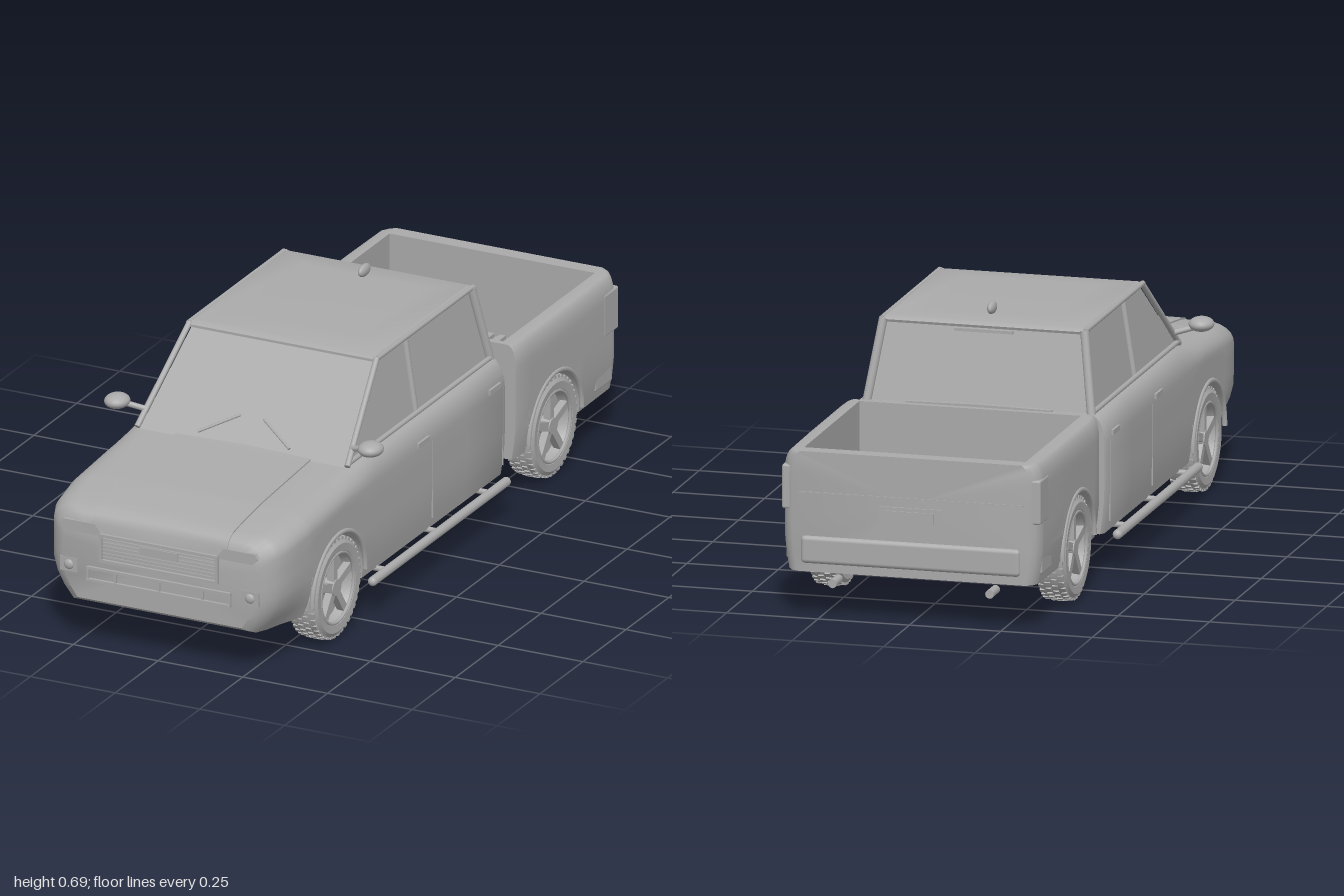
import * as THREE from 'three';
import { toCreasedNormals } from 'three/addons/utils/BufferGeometryUtils.js';
import { RoundedBoxGeometry } from 'three/addons/geometries/RoundedBoxGeometry.js';

const paint = new THREE.MeshStandardMaterial({ color: 0xaaaaaa });
paint.name = 'grey';

const AXLES = [0.645, -0.615], WHEEL_Y = 0.148, ARCH = 0.155;

function add(parent, name, geo, x = 0, y = 0, z = 0) {
  const mesh = new THREE.Mesh(geo, paint);
  mesh.name = name;
  mesh.position.set(x, y, z);
  parent.add(mesh);
  return mesh;
}
const box = (g, name, w, h, d, x, y, z) => add(g, name, new THREE.BoxGeometry(w, h, d), x, y, z);

// Round bar between two points
function bar(g, name, a, b, r, sides = 12) {
  const p = new THREE.Vector3(...a), q = new THREE.Vector3(...b);
  const m = add(g, name, new THREE.CylinderGeometry(r, r, p.distanceTo(q), sides));
  m.position.copy(p).lerp(q, 0.5);
  m.quaternion.setFromUnitVectors(new THREE.Vector3(0, 1, 0), q.sub(p).normalize());
  return m;
}

function ellipsoid(g, name, rx, ry, rz, x, y, z) {
  add(g, name, new THREE.SphereGeometry(1, 24, 16), x, y, z).scale.set(rx, ry, rz);
}

// Skin over closed rings, with fan caps at both ends
function loft(rings, crease = 0.55) {
  const n = rings[0].length, pos = rings.flat(2), idx = [];
  for (let i = 0; i < rings.length - 1; i++) for (let j = 0; j < n; j++) {
    const a = i * n + j, b = i * n + (j + 1) % n;
    idx.push(a, b, a + n, b, b + n, a + n);
  }
  [0, rings.length - 1].forEach((r, end) => {
    const c = pos.length / 3;
    for (let k = 0; k < 3; k++) pos.push(rings[r].reduce((s, p) => s + p[k], 0) / n);
    for (let j = 0; j < n; j++) {
      const a = r * n + j, b = r * n + (j + 1) % n;
      end ? idx.push(c, a, b) : idx.push(c, b, a);
    }
  });
  const geo = new THREE.BufferGeometry();
  geo.setAttribute('position', new THREE.Float32BufferAttribute(pos, 3));
  geo.setIndex(idx);
  return toCreasedNormals(geo, crease);
}

// Linear lookup in rows of [z, value]
function at(rows, z) {
  if (z <= rows[0][0]) return rows[0][1];
  for (let i = 1; i < rows.length; i++) {
    const [z0, v0] = rows[i - 1], [z1, v1] = rows[i];
    if (z <= z1) return v0 + (v1 - v0) * (z - z0) / (z1 - z0);
  }
  return rows[rows.length - 1][1];
}

// Body section: floor, wheel well, side, rounded shoulder, then top or load bay
function section(z, { w, base, top, tuck, rx, ry, inX, inY, midY }) {
  let a = base;
  for (const c of AXLES) {
    const d = Math.abs(z - c);
    if (d < ARCH) a = Math.max(a, WHEEL_Y + Math.sqrt(ARCH * ARCH - d * d));
  }
  const sideX = y => w - tuck * Math.pow(Math.max(0, (0.25 - y) / 0.13), 2);
  const half = [[0, base], [0.24, base], [0.24, a]];
  for (let i = 0; i <= 6; i++) {
    const y = a + (top - ry - a) * i / 6;
    half.push([sideX(y), y]);
  }
  for (let i = 1; i <= 6; i++) {
    const t = i / 6 * Math.PI / 2;
    half.push([w - rx + rx * Math.cos(t), top - ry + ry * Math.sin(t)]);
  }
  half.push([inX, top], [inX, inY], [0, midY]);
  const mirrored = half.slice(1, -1).reverse().map(([x, y]) => [-x, y]);
  return [...half, ...mirrored].map(([x, y]) => [x, y, z]);
}

const archStations = c => Array.from({ length: 25 }, (_, i) => c - ARCH * Math.cos(Math.PI * i / 24));

function frontBody(g) {
  const W = [[-0.335, 0.345], [-0.32, 0.354], [0.82, 0.354], [0.92, 0.344], [0.96, 0.328], [0.98, 0.308], [0.992, 0.285]];
  const T = [[-0.33, 0.44], [0.42, 0.44], [0.52, 0.431], [0.8, 0.412], [0.92, 0.396], [0.96, 0.388], [0.98, 0.376], [0.992, 0.355]];
  const B = [[0.92, 0.118], [0.97, 0.122], [0.992, 0.14]];
  const zs = [-0.335, -0.32, -0.1, 0.2, 0.42, ...archStations(AXLES[0]), 0.82, 0.87, 0.92, 0.94, 0.96, 0.98, 0.992];
  const rings = zs.map(z => {
    const top = at(T, z), hood = at([[0.4, 0], [0.6, 1]], z);
    return section(z, {
      w: at(W, z), base: at(B, z), top, tuck: at([[0.75, 0.012], [0.9, 0.06]], z),
      rx: 0.04 + 0.03 * hood, ry: 0.07 - 0.02 * hood, inX: 0.2, inY: top + 0.004, midY: top + 0.007
    });
  });
  add(g, 'cabAndBonnet', loft(rings));
}

function loadBed(g) {
  const open = [-0.945, ...archStations(AXLES[1]), -0.412];
  const stations = [[-0.988, 0], [-0.98, 0], [-0.96, 0], [-0.945, 0], ...open.map(z => [z, 1]), [-0.412, 0], [-0.395, 0]];
  const rings = stations.map(([z, cavity]) => {
    const floor = cavity ? 0.22 : 0.455;
    return section(z, {
      w: at([[-0.988, 0.325], [-0.98, 0.34], [-0.96, 0.352], [-0.9, 0.355], [-0.42, 0.355], [-0.395, 0.348]], z),
      base: 0.13, top: 0.455, tuck: 0.015, rx: 0.025, ry: 0.06, inX: 0.303, inY: floor, midY: floor
    });
  });
  add(g, 'loadBed', loft(rings));
  for (let i = 0; i < 11; i++) box(g, 'bedRib', 0.018, 0.012, 0.52, (i - 5) * 0.034, 0.225, -0.68);
  for (const s of [-1, 1]) {
    add(g, 'bedWheelCover', new THREE.SphereGeometry(1, 28, 10, 0, Math.PI * 2, 0, Math.PI / 2), s * 0.243, 0.22, -0.62)
      .scale.set(0.064, 0.13, 0.172);
    // Tail lights wrapping the rear corners
    add(g, 'tailLight', new RoundedBoxGeometry(0.03, 0.12, 0.085, 2, 0.006), s * 0.339, 0.355, -0.942);
    add(g, 'rearReflector', new RoundedBoxGeometry(0.03, 0.08, 0.1, 2, 0.006), s * 0.335, 0.195, -0.905);
    bar(g, 'exhaustPipe', [s * 0.215, 0.1, -0.925], [s * 0.215, 0.1, -0.985], 0.012);
  }
  // Tailgate details
  add(g, 'rearBumper', new RoundedBoxGeometry(0.6, 0.075, 0.03, 3, 0.012), 0, 0.19, -0.982);
  box(g, 'tailgateSeam', 0.62, 0.003, 0.006, 0, 0.345, -0.987);
  box(g, 'rearPlateFrame', 0.17, 0.05, 0.008, 0, 0.295, -0.988);
  box(g, 'rearPlate', 0.13, 0.03, 0.006, 0, 0.295, -0.992);
  box(g, 'chassisLink', 0.52, 0.015, 0.12, 0, 0.133, -0.37);
}

function greenhouse(g) {
  const ring = (x, y, z0, z1) => [[x, y, z1], [x, y, z0], [-x, y, z0], [-x, y, z1]];
  add(g, 'windows', loft([ring(0.303, 0.43, -0.325, 0.512), ring(0.268, 0.65, -0.272, 0.265)]));
  add(g, 'roof', loft([ring(0.276, 0.643, -0.285, 0.28), ring(0.28, 0.65, -0.288, 0.28),
    ring(0.268, 0.659, -0.275, 0.262), ring(0.18, 0.664, -0.2, 0.18)], 0.7));
  for (const s of [-1, 1]) {
    bar(g, 'windscreenPillar', [s * 0.31, 0.436, 0.51], [s * 0.276, 0.652, 0.272], 0.008);
    bar(g, 'rearPillar', [s * 0.307, 0.436, -0.326], [s * 0.275, 0.652, -0.279], 0.012);
    bar(g, 'doorPillar', [s * 0.303, 0.436, 0.1], [s * 0.27, 0.65, 0.1], 0.009);
    bar(g, 'roofRail', [s * 0.278, 0.652, -0.283], [s * 0.278, 0.652, 0.275], 0.007);
    bar(g, 'windowSill', [s * 0.31, 0.443, -0.325], [s * 0.31, 0.443, 0.5], 0.007);
    bar(g, 'wiper', [s * 0.135, 0.452, 0.503], [s * 0.035, 0.499, 0.452], 0.004, 8);
    // Door mirrors
    bar(g, 'mirrorArm', [s * 0.305, 0.473, 0.47], [s * 0.36, 0.488, 0.49], 0.008);
    ellipsoid(g, 'doorMirror', 0.034, 0.02, 0.038, s * 0.374, 0.495, 0.5);
  }
  ellipsoid(g, 'roofAerial', 0.011, 0.017, 0.03, 0, 0.679, -0.2);
  box(g, 'rearBrakeLight', 0.16, 0.008, 0.012, 0, 0.635, -0.281);
}

function sideDetails(g) {
  for (const s of [-1, 1]) {
    for (const z of [0.155, -0.26]) box(g, 'doorHandle', 0.012, 0.014, 0.065, s * 0.352, 0.385, z);
    for (const z of [0.1, -0.31]) box(g, 'doorSeam', 0.004, 0.22, 0.003, s * 0.353, 0.26, z);
    // Side step and its brackets
    bar(g, 'sideStep', [s * 0.37, 0.111, -0.295], [s * 0.37, 0.111, 0.48], 0.013);
    for (const z of [-0.295, 0.48]) ellipsoid(g, 'stepEnd', 0.013, 0.013, 0.013, s * 0.37, 0.111, z);
    for (const z of AXLES) {
      add(g, 'archTrim', new THREE.TorusGeometry(ARCH, 0.007, 8, 32, Math.PI), s * 0.353, WHEEL_Y, z).rotation.y = Math.PI / 2;
    }
  }
  for (const z of [-0.2, 0.1, 0.4]) bar(g, 'stepBracket', [-0.37, 0.114, z], [0.37, 0.114, z], 0.008);
}

function frontDetails(g) {
  const F = 0.992;
  // Upper grille: frame, mesh and plate
  for (const y of [0.258, 0.33]) box(g, 'grilleFrame', 0.35, 0.008, 0.016, 0, y, F);
  for (const x of [-0.171, 0.171]) box(g, 'grilleFrame', 0.008, 0.08, 0.016, x, 0.294, F);
  for (let i = 0; i < 6; i++) box(g, 'grilleSlat', 0.336, 0.004, 0.006, 0, 0.269 + i * 0.01, F);
  box(g, 'frontPlate', 0.112, 0.023, 0.008, 0, 0.307, F + 0.002);
  // Lower intake
  for (const y of [0.198, 0.232]) box(g, 'intakeFrame', 0.424, 0.007, 0.016, 0, y, F);
  for (const x of [-0.209, -0.128, 0, 0.128, 0.209]) box(g, 'intakeBar', 0.006, 0.038, 0.012, x, 0.215, F);
  for (const s of [-1, 1]) {
    const lamp = new THREE.Shape([[0.165, 0.326], [0.275, 0.326], [0.292, 0.343], [0.282, 0.357], [0.19, 0.357]]
      .map(([x, y]) => new THREE.Vector2(s * x, y)));
    add(g, 'headlight', new THREE.ExtrudeGeometry(lamp, { depth: 0.02, bevelEnabled: false }), 0, 0, 0.974);
    box(g, 'fogLampFrame', 0.052, 0.04, 0.016, s * 0.267, 0.229, 0.985);
    ellipsoid(g, 'fogLamp', 0.014, 0.014, 0.008, s * 0.267, 0.229, 0.992);
  }
}

// Wheel with its outer face towards +x
function wheel() {
  const g = new THREE.Group();
  g.name = 'wheel';
  const profile = [[0.001, -0.02], [0.09, -0.02], [0.098, -0.038], [0.122, -0.042], [0.134, -0.034], [0.138, -0.022],
    [0.138, 0.022], [0.134, 0.034], [0.122, 0.042], [0.102, 0.04], [0.097, 0.034], [0.093, 0.005], [0.001, 0.005]];
  const tyre = new THREE.LatheGeometry(profile.map(p => new THREE.Vector2(...p)), 48);
  add(g, 'tyre', toCreasedNormals(tyre.rotateZ(-Math.PI / 2), 0.6));
  add(g, 'rimEdge', new THREE.TorusGeometry(0.097, 0.005, 8, 40).rotateY(Math.PI / 2), 0.036);
  add(g, 'hub', new THREE.CylinderGeometry(0.022, 0.026, 0.034, 20).rotateZ(-Math.PI / 2), 0.018);
  for (let i = 0; i < 5; i++) {
    const a = i * Math.PI * 2 / 5;
    add(g, 'spoke', new THREE.BoxGeometry(0.02, 0.08, 0.022).translate(0.022, 0.056, 0)).rotation.x = a;
  }
  // Tread blocks in four staggered rows
  for (let i = 0; i < 40; i++) for (let row = 0; row < 4; row++) {
    const block = new THREE.BoxGeometry(0.015, 0.008, 0.012).translate((row - 1.5) * 0.019, row % 3 ? 0.138 : 0.135, 0);
    add(g, 'treadBlock', block).rotation.x = (i + (row % 2) / 2) * Math.PI / 20;
  }
  return g;
}

export function createModel() {
  const truck = new THREE.Group();
  truck.name = 'pickupTruck';
  frontBody(truck);
  loadBed(truck);
  greenhouse(truck);
  sideDetails(truck);
  frontDetails(truck);
  for (const z of AXLES) for (const s of [-1, 1]) {
    const w = wheel();
    w.position.set(s * 0.312, WHEEL_Y, z);
    if (s < 0) w.rotation.y = Math.PI;
    truck.add(w);
  }
  truck.position.y = -0.006;
  const model = new THREE.Group();
  model.name = 'model';
  model.add(truck);
  return model;
}
